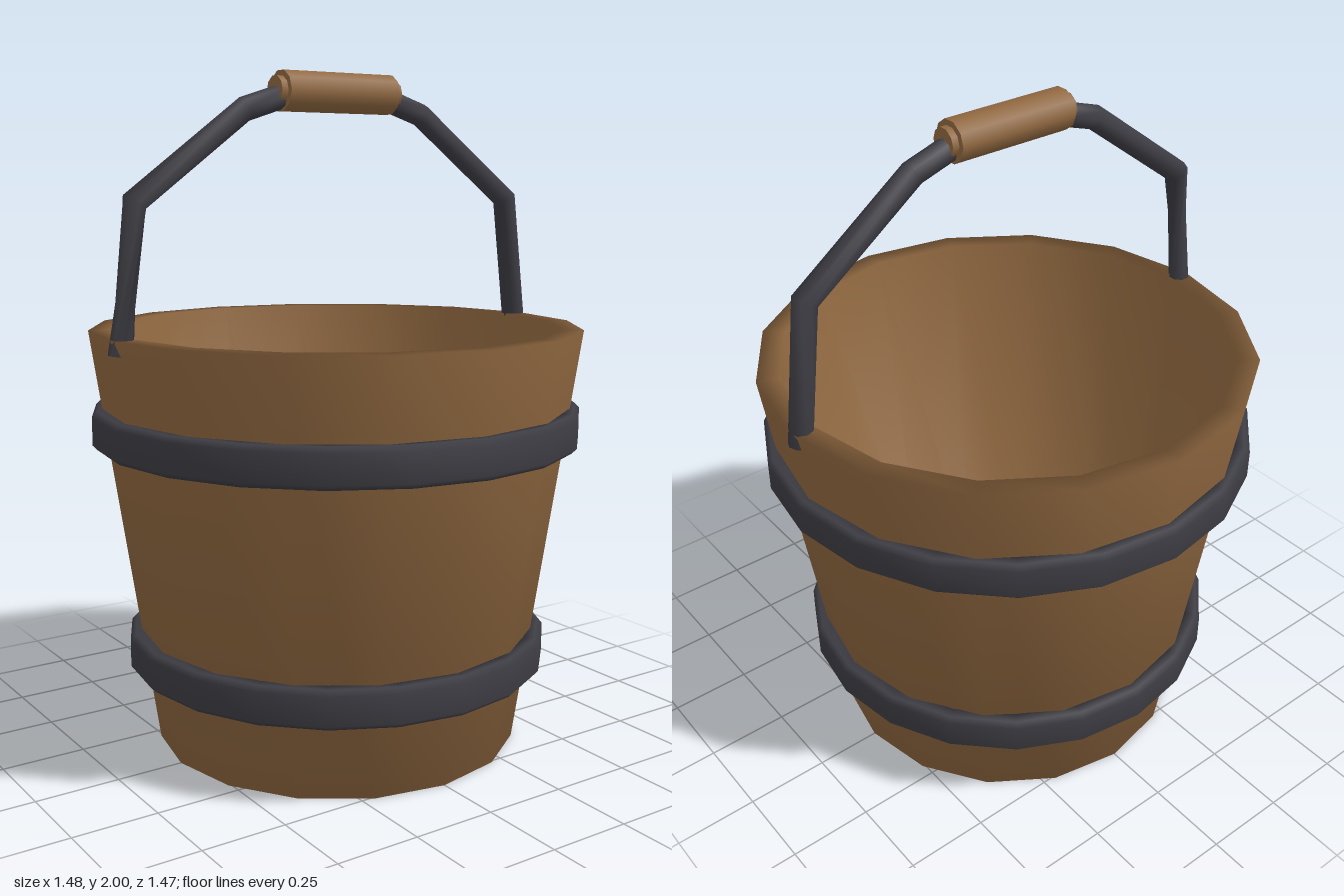
import * as THREE from 'three';

const wood = new THREE.MeshStandardMaterial({ color: 0x906840 });
wood.name = 'wood';
const iron = new THREE.MeshStandardMaterial({ color: 0x3d3d44 });
iron.name = 'iron';

function part(group, name, geometry, material) {
  const mesh = new THREE.Mesh(geometry, material);
  mesh.name = name;
  group.add(mesh);
  return mesh;
}

// Closed [radius, height] profile turned around the y axis
function turned(profile, sides) {
  return new THREE.LatheGeometry(profile.map(([r, y]) => new THREE.Vector2(r, y)), sides);
}

// Hoop with a flat inside and a softly bevelled outside
function hoop(radius, y) {
  const inner = radius - 0.047, h = 0.057;
  return turned([
    [inner, y - h], [radius - 0.015, y - h], [radius, y - h + 0.015],
    [radius, y + h - 0.015], [radius - 0.015, y + h], [inner, y + h], [inner, y - h],
  ], 20);
}

// Mitred rod along a bent path in the xy plane; the last section may be twisted
function bentRod(points, radius, sides, endTwist) {
  const path = points.map(([x, y]) => new THREE.Vector3(x, y, 0));
  const zAxis = new THREE.Vector3(0, 0, 1);
  const positions = [], index = [];
  const last = path.length - 1;
  path.forEach((p, i) => {
    const into = p.clone().sub(path[Math.max(i - 1, 0)]).normalize();
    const out = path[Math.min(i + 1, last)].clone().sub(p).normalize();
    const tangent = into.clone().add(out).normalize();
    const mitre = 1 / tangent.dot(i === 0 ? out : into);
    const normal = zAxis.clone().cross(tangent);
    const twist = i === last ? endTwist : 0;
    for (let j = 0; j < sides; j++) {
      const a = (j / sides) * Math.PI * 2 + twist;
      const v = p.clone()
        .addScaledVector(normal, Math.cos(a) * radius * mitre)
        .addScaledVector(zAxis, Math.sin(a) * radius);
      positions.push(v.x, v.y, v.z);
    }
  });
  for (let i = 0; i < last; i++) {
    for (let j = 0; j < sides; j++) {
      const a = i * sides + j, b = i * sides + (j + 1) % sides;
      index.push(a, b, a + sides, b, b + sides, a + sides);
    }
  }
  // End caps
  const end = last * sides;
  for (let j = 1; j < sides - 1; j++) {
    index.push(0, j + 1, j, end, end + j, end + j + 1);
  }
  const geometry = new THREE.BufferGeometry();
  geometry.setAttribute('position', new THREE.Float32BufferAttribute(positions, 3));
  geometry.setIndex(index);
  geometry.computeVertexNormals();
  return geometry;
}

export function createModel() {
  const bucket = new THREE.Group();
  bucket.name = 'bucket';

  // Hollow tapered tub with a floor
  part(bucket, 'tub', turned([
    [0, 0], [0.55, 0], [0.735, 1.26], [0.67, 1.26], [0.5, 0.06], [0, 0.06],
  ], 16), wood);

  // Iron hoops
  part(bucket, 'upperHoop', hoop(0.735, 0.972), iron);
  part(bucket, 'lowerHoop', hoop(0.64, 0.292), iron);

  // Bail handle, mirrored, with a twist in its right leg
  const half = [[0.708, 1.215], [0.655, 1.632], [0.31, 1.887], [0.19, 1.925]];
  const bail = [...half, ...half.map(([x, y]) => [-x, y]).reverse()];
  part(bucket, 'bailHandle', bentRod(bail, 0.035, 8, 2.0), iron);

  // Turned grip with a narrower core showing at both ends
  for (const [name, radius, length] of [['grip', 0.06, 0.38], ['gripCore', 0.043, 0.42]]) {
    const grip = part(bucket, name, new THREE.CylinderGeometry(radius, radius, length, 10), wood);
    grip.rotation.z = Math.PI / 2;
    grip.position.y = 1.942;
  }

  return bucket;
}
